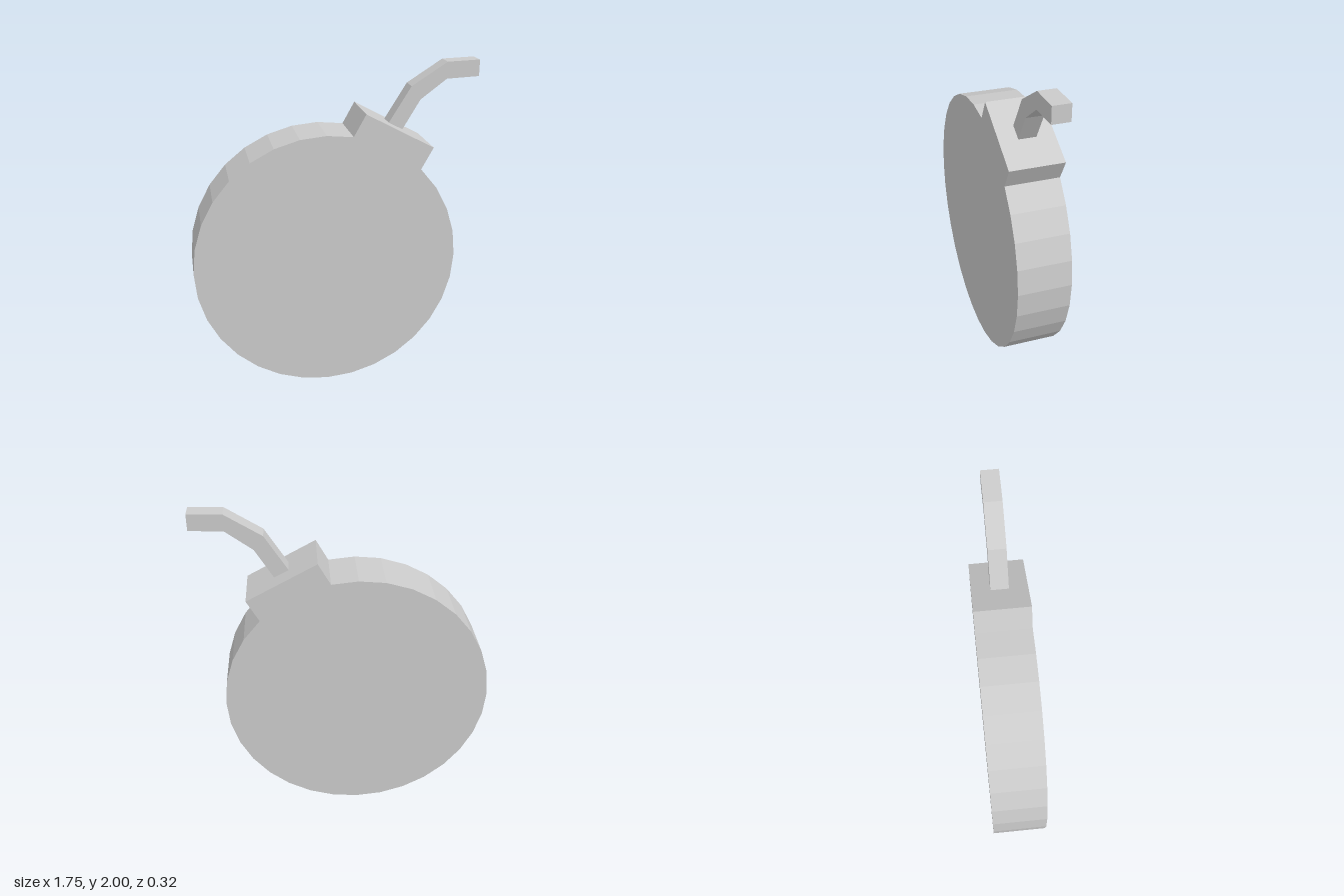
import * as THREE from 'three';

// Extrudes an outline in the xy plane, centred on z = 0
function slab(name, points, depth, material) {
  const shape = new THREE.Shape(points.map(([x, y]) => new THREE.Vector2(x, y)));
  const geometry = new THREE.ExtrudeGeometry(shape, { depth, bevelEnabled: false });
  geometry.translate(0, 0, -depth / 2);
  const mesh = new THREE.Mesh(geometry, material);
  mesh.name = name;
  return mesh;
}

export function createModel() {
  const group = new THREE.Group();
  group.name = 'bomb';
  const material = new THREE.MeshStandardMaterial({ color: 0xcccccc, flatShading: true });

  // Round body: a 32-sided disc whose rim opens into the neck between sides 4 and 7
  const radius = 0.807, cx = -0.068, cy = 0.809, sides = 32;
  const outline = [];
  for (let i = 7; i <= sides + 4; i++) {
    const a = (i / sides) * Math.PI * 2;
    outline.push([cx + radius * Math.cos(a), cy + radius * Math.sin(a)]);
  }
  // Tilted neck block
  outline.push([0.575, 1.51], [0.162, 1.731]);
  group.add(slab('bodyAndNeck', outline, 0.322, material));

  // Bent fuse: square section, three straight segments
  const fuse = [
    [0.41, 1.602], [0.515, 1.777], [0.672, 1.894], [0.87, 1.902],
    [0.87, 2.0], [0.672, 1.994], [0.458, 1.859], [0.325, 1.646],
  ];
  group.add(slab('fuse', fuse, 0.104, material));

  return group;
}
